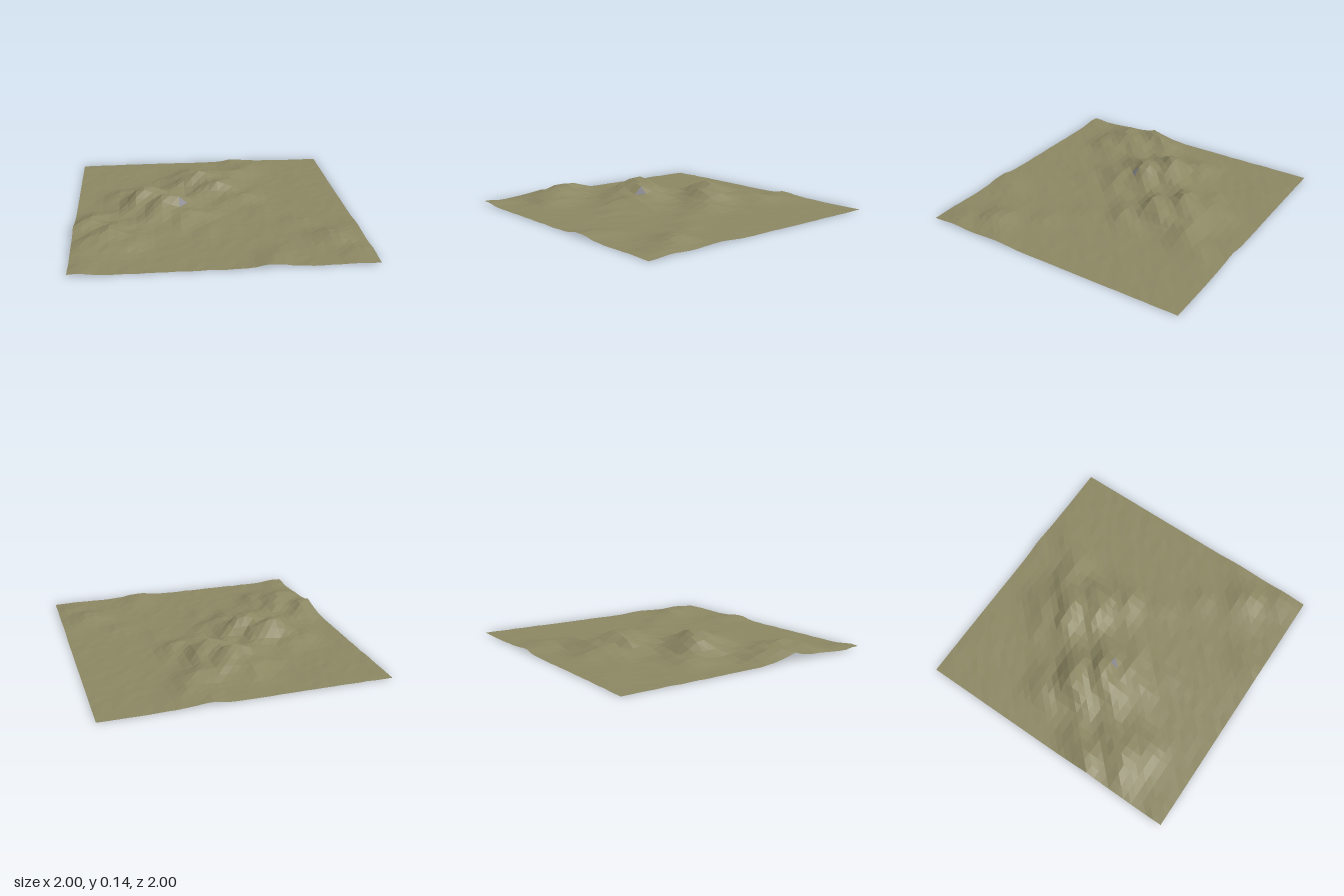
import * as THREE from 'three';

const SEGMENTS = 32;
const MAX_HEIGHT = 0.16;

// Hills: x, z, height, sigma along the range, sigma across it
const MAIN_RANGE = [
  [-0.47, -0.10, 0.145, 0.15, 0.075], [-0.32, 0.07, 0.145, 0.15, 0.075],
  [-0.07, -0.46, 0.13, 0.14, 0.075], [0.08, -0.30, 0.11, 0.14, 0.07],
  [-0.77, 0.47, 0.085, 0.16, 0.075], [-0.92, 0.29, 0.075, 0.16, 0.075],
  [0.22, -0.62, 0.05, 0.12, 0.08], [0.38, -0.78, 0.025, 0.12, 0.08],
  [-0.17, 0.22, 0.06, 0.14, 0.07], [0.23, -0.13, 0.05, 0.13, 0.07],
  [-0.62, 0.60, 0.045, 0.13, 0.07], [-0.05, 0.42, 0.015, 0.1, 0.06],
  [-0.18, -0.63, 0.055, 0.12, 0.07], [-0.63, -0.26, 0.045, 0.14, 0.07],
  [0.28, -0.95, 0.02, 0.1, 0.06], [-0.85, 0.7, 0.015, 0.12, 0.07],
];
const FOOTHILLS = [
  [0.74, 0.60, 0.035, 0.10, 0.09], [0.83, 0.63, 0.02, 0.08, 0.08],
  [0.58, 0.33, 0.018, 0.07, 0.08], [0.36, 0.12, 0.015, 0.08, 0.08],
  [0.90, 0.84, 0.022, 0.08, 0.07], [0.36, 0.82, 0.017, 0.08, 0.07],
  [0.31, 0.97, 0.025, 0.08, 0.08], [0.98, 0.42, 0.012, 0.08, 0.08],
  [-0.93, 0.96, 0.02, 0.09, 0.06], [-0.6, -0.85, 0.006, 0.1, 0.1],
];

// Repeatable value from 0 to 1 for each grid point
function hash(i, j) {
  const s = Math.sin(i * 127.1 + j * 311.7) * 43758.5453;
  return s - Math.floor(s);
}

// Rounded hill stretched along the diagonal of the range
function hill(x, z, [cx, cz, height, along, across]) {
  const a = (x - cx - z + cz) * Math.SQRT1_2;
  const b = (x - cx + z - cz) * Math.SQRT1_2;
  return height * Math.exp(-0.5 * ((a / along) ** 2 + (b / across) ** 2));
}

function heightAt(i, j) {
  const x = -1 + (2 * i) / SEGMENTS;
  const z = -1 + (2 * j) / SEGMENTS;
  // Meander of the crests
  const bend = 0.022 * Math.sin((x - z) * 11);
  let h = 0;
  for (const p of MAIN_RANGE) h += hill(x + bend, z + bend, p);
  for (const p of FOOTHILLS) h += hill(x, z, p);
  h *= 0.9 + 0.2 * hash(i, j);
  return Math.min(MAX_HEIGHT, h + 0.004 * hash(j + 7, i + 3));
}

function surface(name, positions, color) {
  const geometry = new THREE.BufferGeometry();
  geometry.setAttribute('position', new THREE.Float32BufferAttribute(positions, 3));
  geometry.computeVertexNormals();
  const material = new THREE.MeshStandardMaterial({ color, flatShading: true, side: THREE.DoubleSide });
  const mesh = new THREE.Mesh(geometry, material);
  mesh.name = name;
  return mesh;
}

export function createModel() {
  const group = new THREE.Group();
  group.name = 'mountainTerrain';
  const grass = [];
  const rock = [];
  const point = (i, j) =>
    new THREE.Vector3(-1 + (2 * i) / SEGMENTS, heightAt(i, j), -1 + (2 * j) / SEGMENTS);

  // Sort each facet into grass or, where steep, bare rock
  const normal = new THREE.Vector3();
  const addFacet = (a, b, c) => {
    THREE.Triangle.getNormal(a, b, c, normal);
    const target = normal.y < 0.64 ? rock : grass;
    for (const p of [a, b, c]) target.push(p.x, p.y, p.z);
  };

  for (let i = 0; i < SEGMENTS; i++) {
    for (let j = 0; j < SEGMENTS; j++) {
      const a = point(i, j), b = point(i, j + 1);
      const c = point(i + 1, j + 1), d = point(i + 1, j);
      addFacet(a, b, d);
      addFacet(b, c, d);
    }
  }

  group.add(surface('grassland', grass, 0x8b8662));
  if (rock.length) group.add(surface('rockFaces', rock, 0x8a8890));
  return group;
}
